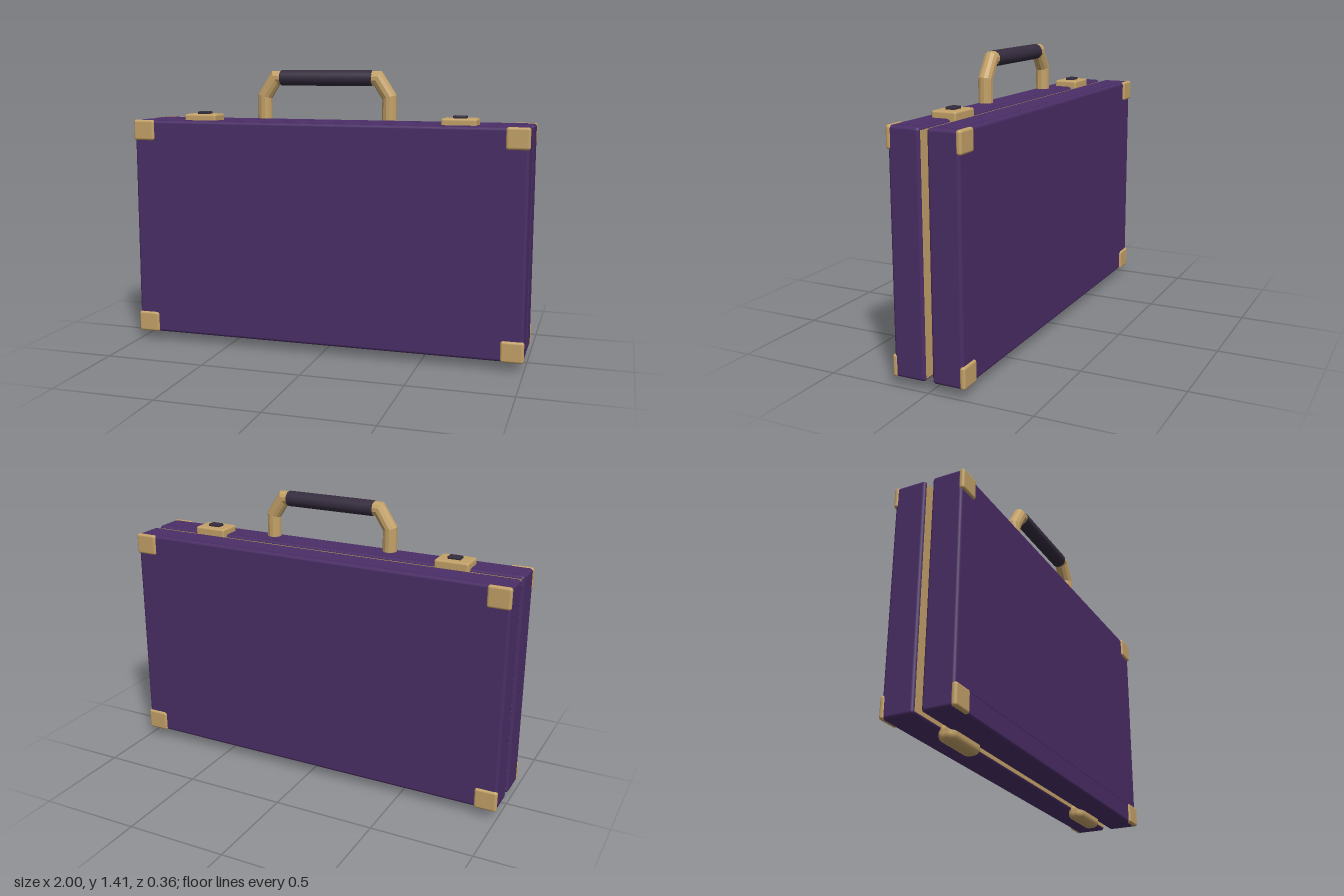
import * as THREE from 'three';
import { RoundedBoxGeometry } from 'three/addons/geometries/RoundedBoxGeometry.js';

const material = (name, color) => {
  const m = new THREE.MeshStandardMaterial({ color });
  m.name = name;
  return m;
};

export function createModel() {
  const leather = material('purple leather', 0x4a2e66);
  const brass = material('brass', 0xc4a268);
  const dark = material('dark grip', 0x352c3e);
  const model = new THREE.Group();
  model.name = 'briefcase';

  const add = (name, geometry, mat, parent = model) => {
    const mesh = new THREE.Mesh(geometry, mat);
    mesh.name = name;
    parent.add(mesh);
    return mesh;
  };
  // Box given by its min and max on each axis, rounded when r > 0
  const box = (name, [x0, x1], [y0, y1], [z0, z1], r, mat, parent) => {
    const size = [x1 - x0, y1 - y0, z1 - z0];
    const geometry = r ? new RoundedBoxGeometry(...size, 3, r) : new THREE.BoxGeometry(...size);
    add(name, geometry, mat, parent).position.set((x0 + x1) / 2, (y0 + y1) / 2, (z0 + z1) / 2);
  };
  const span = (a, b, s) => (s > 0 ? [a, b] : [-b, -a]);

  // Two half shells with face panels, brass inner rims and corner caps
  for (const s of [1, -1]) {
    const half = new THREE.Group();
    half.name = s > 0 ? 'frontHalf' : 'backHalf';
    model.add(half);
    box('shell', [-0.997, 0.997], [0.045, 1.153], span(0.018, 0.17, s), 0.015, leather, half);
    box('facePanel', [-0.9, 0.9], [0.145, 1.06], span(0.165, 0.172, s), 0, leather, half);
    box('topPanel', [-0.955, 0.955], [1.148, 1.154], span(0.035, 0.148, s), 0, leather, half);
    box('innerRim', [-0.984, 0.984], [0.058, 1.14], span(0.016, 0.021, s), 0, brass, half);
    for (const x of [1, -1]) {
      for (const y of [0.045, 1.051]) {
        box('cornerCap', span(0.888, 1, x), [y, y + 0.104], span(0.153, 0.18, s), 0.012, brass, half);
      }
    }
  }

  // Latches on top, hinge feet below
  for (const x of [1, -1]) {
    box('latch', span(0.575, 0.743, x), [1.13, 1.185], [-0.01, 0.113], 0.01, brass);
    box('latchButton', span(0.626, 0.69, x), [1.18, 1.197], [0.027, 0.072], 0.004, dark);
    box('hingeFoot', span(0.535, 0.785, x), [0, 0.08], [-0.042, 0.042], 0.032, brass);
  }

  // Handle arms: a round section swept along a bent path with mitred joints
  const handle = new THREE.Group();
  handle.name = 'handle';
  handle.position.z = 0.072;
  model.add(handle);
  for (const s of [1, -1]) {
    const path = [[0.318, 1.17], [0.318, 1.28], [0.26, 1.37], [0.22, 1.37]]
      .map(([x, y]) => new THREE.Vector2(x * s, y));
    add(s > 0 ? 'leftArm' : 'rightArm', sweep(path, 0.035, 12), brass, handle);
  }

  // Padded grip with rounded ends
  const profile = [[0, -0.237], [0.032, -0.237], [0.038, -0.228],
    [0.038, 0.228], [0.032, 0.237], [0, 0.237]].map(p => new THREE.Vector2(...p));
  const grip = add('grip', new THREE.LatheGeometry(profile, 24), dark, handle);
  grip.rotation.z = Math.PI / 2;
  grip.position.y = 1.37;

  return model;
}

// Capped tube along a path in the xy plane, flat-faceted
function sweep(path, radius, sides) {
  const points = [], index = [];
  const last = path.length - 1;
  path.forEach((p, i) => {
    const before = path[Math.max(i, 1)].clone().sub(path[Math.max(i, 1) - 1]).normalize();
    const after = path[Math.min(i + 1, last)].clone().sub(path[Math.min(i + 1, last) - 1]).normalize();
    const t = before.clone().add(after).normalize();
    const r = radius / t.dot(before);
    for (let k = 0; k < sides; k++) {
      const a = (k + 0.5) / sides * Math.PI * 2;
      points.push(p.x - t.y * r * Math.cos(a), p.y + t.x * r * Math.cos(a), radius * Math.sin(a));
    }
  });
  for (let i = 0; i < last; i++) {
    for (let k = 0; k < sides; k++) {
      const a = i * sides + k, b = i * sides + (k + 1) % sides;
      index.push(a, b, b + sides, a, b + sides, a + sides);
    }
  }
  const end = last * sides;
  for (let k = 1; k < sides - 1; k++) {
    index.push(0, k + 1, k, end, end + k, end + k + 1);
  }
  const geometry = new THREE.BufferGeometry();
  geometry.setAttribute('position', new THREE.Float32BufferAttribute(points, 3));
  geometry.setIndex(index);
  const flat = geometry.toNonIndexed();
  flat.computeVertexNormals();
  return flat;
}
